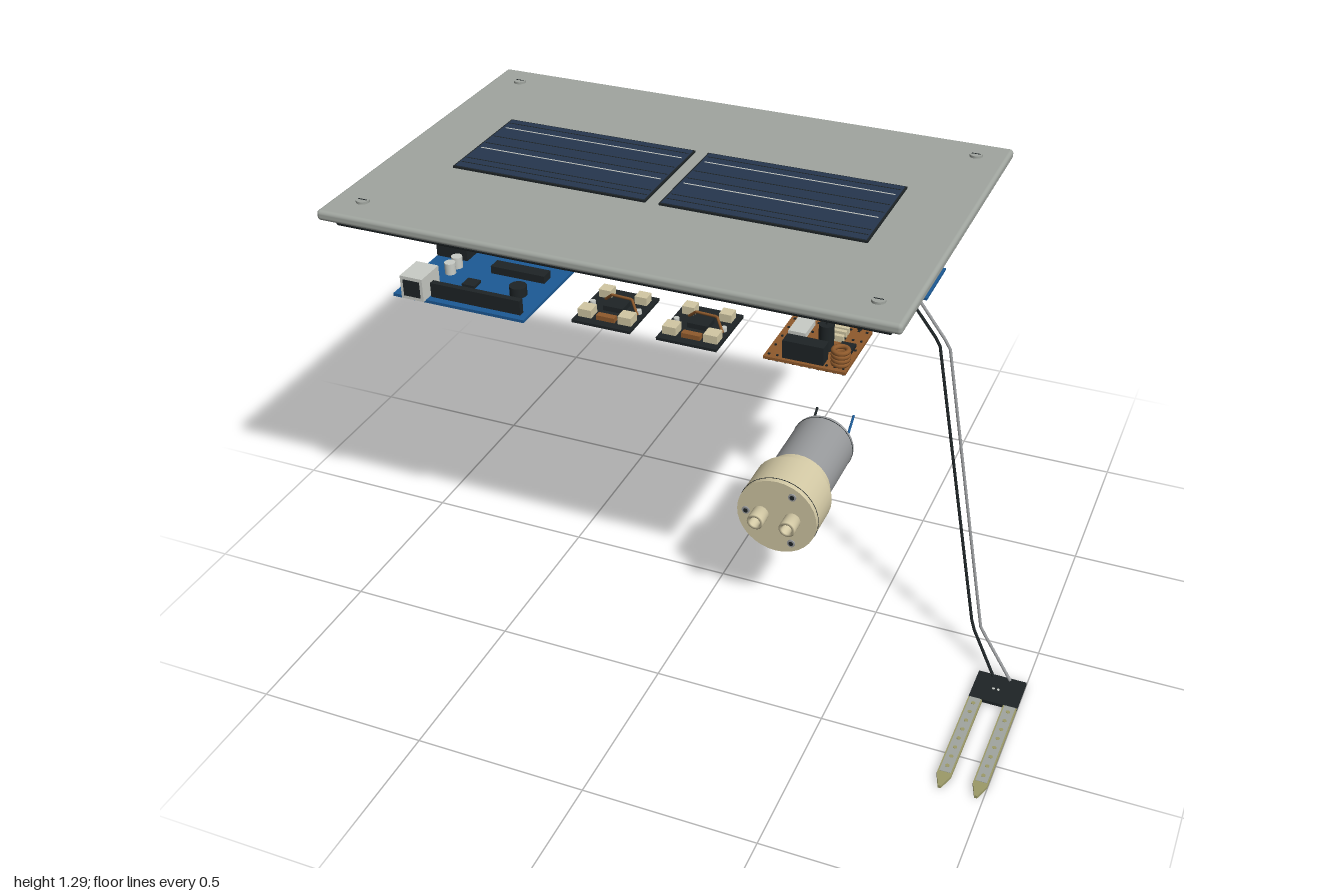
import * as THREE from 'three';
import { RoundedBoxGeometry } from 'three/addons/geometries/RoundedBoxGeometry.js';

const mat = (name, color) => Object.assign(new THREE.MeshStandardMaterial({ color }), { name });
const M = {
  grey: mat('lid grey', 0xa0a59f), black: mat('charcoal', 0x1e2426), blue: mat('battery blue', 0x1f5abb),
  pcb: mat('board blue', 0x1c5a96), navy: mat('solar navy', 0x26364e), cream: mat('gearbox cream', 0xd2c8a4),
  metal: mat('motor metal', 0x97999b), silver: mat('silver', 0xc9ccc6), copper: mat('copper', 0x8f5a2c),
  khaki: mat('probe khaki', 0x9c9a68),
};

export function createModel() {
  const model = new THREE.Group();
  const group = (name) => {
    const g = new THREE.Group();
    g.name = name;
    model.add(g);
    return g;
  };
  const add = (g, name, geo, m, x = 0, y = 0, z = 0) => {
    const mesh = new THREE.Mesh(geo, m);
    mesh.name = name;
    mesh.position.set(x, y, z);
    g.add(mesh);
    return mesh;
  };
  // Boxes are given by their limits on each axis
  const box = (g, name, m, x0, x1, y0, y1, z0, z1, r = 0) => {
    const s = [x1 - x0, y1 - y0, z1 - z0];
    const geo = r ? new RoundedBoxGeometry(...s, 4, r) : new THREE.BoxGeometry(...s);
    return add(g, name, geo, m, (x0 + x1) / 2, (y0 + y1) / 2, (z0 + z1) / 2);
  };
  const cyl = (g, name, m, r, h, x, y, z, alongZ = false) => {
    const c = add(g, name, new THREE.CylinderGeometry(r, r, h, 32), m, x, y, z);
    if (alongZ) c.rotation.x = Math.PI / 2;
    return c;
  };
  // Wires bend sharply between a few points
  const wire = (g, name, m, r, pts) => {
    const path = new THREE.CurvePath();
    const v = pts.map((p) => new THREE.Vector3(...p));
    for (let i = 1; i < v.length; i++) path.add(new THREE.LineCurve3(v[i - 1], v[i]));
    return add(g, name, new THREE.TubeGeometry(path, 40, r, 8), m);
  };

  // Lid with gasket and corner screws
  const lid = group('lid');
  box(lid, 'lidPlate', M.grey, -1, 0.65, 1.255, 1.285, -0.64, 0.46, 0.011);
  box(lid, 'gasket', M.black, -0.965, 0.615, 1.23, 1.256, -0.603, 0.425, 0.006);
  for (const x of [-0.91, 0.56]) for (const z of [-0.55, 0.365]) {
    cyl(lid, 'screw', M.grey, 0.019, 0.01, x, 1.287, z);
    box(lid, 'screwSlot', M.black, x - 0.013, x + 0.013, 1.291, 1.2925, z - 0.002, z + 0.002);
  }

  // Solar panels with thin collector lines and cell gaps
  const solar = group('solarPanels');
  for (const x0 of [-0.79, -0.155]) {
    const x1 = x0 + 0.595;
    box(solar, 'panelFrame', M.black, x0, x1, 1.284, 1.291, -0.27, 0.083);
    box(solar, 'panelCells', M.navy, x0 + 0.005, x1 - 0.005, 1.29, 1.2925, -0.265, 0.078);
    for (const z of [-0.205, -0.055]) box(solar, 'collectorLine', M.silver, x0 + 0.015, x1 - 0.015, 1.292, 1.2935, z - 0.002, z + 0.002);
    for (const z of [-0.24, -0.14, -0.09, 0.02, 0.05]) box(solar, 'cellGap', M.black, x0 + 0.01, x1 - 0.01, 1.292, 1.2932, z - 0.0015, z + 0.0015);
    const wx = x0 + 0.297;
    wire(solar, 'panelLead', M.black, 0.004, [[wx - 0.003, 1.235, -0.305], [wx - 0.003, 1.197, -0.35]]);
    wire(solar, 'panelLead', M.black, 0.004, [[wx + 0.003, 1.235, -0.335], [wx + 0.003, 1.197, -0.375]]);
  }

  // Batteries
  const batteries = group('batteries');
  for (const x of [-0.787, -0.387]) box(batteries, 'battery', M.blue, x, x + 0.302, 0.965, 1.113, -0.56, -0.043, 0.025);

  // Controller board
  const ctl = group('controllerBoard');
  box(ctl, 'board', M.pcb, -0.86, -0.45, 0.992, 1.001, 0.02, 0.345);
  box(ctl, 'dataSocket', M.silver, -0.825, -0.755, 1, 1.07, 0.265, 0.357);
  box(ctl, 'socketOpening', M.black, -0.816, -0.764, 1.01, 1.06, 0.35, 0.3585);
  box(ctl, 'powerSocket', M.black, -0.86, -0.76, 1, 1.055, 0.04, 0.1);
  box(ctl, 'mainChip', M.black, -0.66, -0.49, 1.002, 1.025, 0.1, 0.14);
  for (const [x0, x1, z] of [[-0.7, -0.47, 0.035], [-0.75, -0.47, 0.315]]) box(ctl, 'pinSocket', M.black, x0, x1, 1, 1.045, z - 0.009, z + 0.009);
  for (const z of [0.14, 0.18]) cyl(ctl, 'capacitor', M.silver, 0.016, 0.035, -0.77, 1.018, z);
  box(ctl, 'smallChip', M.black, -0.7, -0.66, 1, 1.01, 0.2, 0.24);
  cyl(ctl, 'resetButton', M.black, 0.025, 0.03, -0.53, 1.015, 0.22);

  // Two small driver boards
  for (const x of [-0.243, 0.01]) {
    const d = group('driverBoard');
    box(d, 'board', M.black, x - 0.088, x + 0.088, 0.992, 1, 0.09, 0.29);
    for (const s of [-1, 1]) {
      box(d, 'connector', M.cream, x + s * 0.06 - 0.02, x + s * 0.06 + 0.02, 1, 1.024, 0.225, 0.265);
      box(d, 'connector', M.cream, x + s * 0.055 - 0.018, x + s * 0.055 + 0.018, 1, 1.024, 0.11, 0.145);
      cyl(d, 'standoff', M.silver, 0.008, 0.014, x + s * 0.07, 1.005, 0.19);
    }
    box(d, 'chip', M.black, x - 0.03, x + 0.03, 1, 1.015, 0.16, 0.21);
    box(d, 'component', M.copper, x - 0.025, x + 0.03, 1, 1.014, 0.245, 0.265);
    wire(d, 'jumper', M.copper, 0.004, [[x - 0.05, 1, 0.15], [x - 0.02, 1.03, 0.17], [x + 0.05, 1.04, 0.19], [x + 0.07, 1, 0.2]]);
  }

  // Copper converter board with coil and capacitor
  const conv = group('converterBoard');
  box(conv, 'board', M.copper, 0.225, 0.455, 0.994, 1.002, 0.045, 0.275);
  for (let i = 0; i < 10; i++) for (const z of [0.06, 0.11, 0.16, 0.21, 0.26]) {
    const x = 0.237 + i * 0.023;
    box(conv, 'solderPin', M.black, x - 0.003, x + 0.003, 0.985, 1.005, z - 0.003, z + 0.003);
  }
  for (let i = 0; i < 4; i++) {
    add(conv, 'coil', new THREE.TorusGeometry(0.02, 0.007, 8, 24), M.copper, 0.43, 1.011 + i * 0.012, 0.242).rotation.x = Math.PI / 2;
  }
  box(conv, 'heatSink', M.black, 0.275, 0.39, 1, 1.055, 0.225, 0.265);
  cyl(conv, 'capacitor', M.black, 0.021, 0.075, 0.37, 1.045, 0.185);
  cyl(conv, 'capacitorLead', M.black, 0.003, 0.03, 0.37, 1.09, 0.185);
  box(conv, 'terminal', M.silver, 0.25, 0.3, 1, 1.018, 0.07, 0.15);
  for (const z of [0.075, 0.095, 0.12]) box(conv, 'component', M.cream, 0.35, 0.4, 1, 1.02, z, z + 0.012);
  box(conv, 'chip', M.black, 0.4, 0.44, 1, 1.012, 0.14, 0.19);
  wire(conv, 'linkWire', M.black, 0.006, [[0.42, 1, 0.05], [0.42, 1.038, 0.048], [0.42, 1.055, 0], [0.4, 1.045, -0.04]]);

  // Relay board
  const relay = group('relayBoard');
  box(relay, 'board', M.pcb, 0.26, 0.42, 0.994, 1.002, -0.28, -0.012);
  box(relay, 'relay', M.pcb, 0.27, 0.375, 1.002, 1.1, -0.195, -0.08);
  box(relay, 'terminalBlock', M.pcb, 0.28, 0.41, 1, 1.05, -0.052, -0.012);
  for (const x of [0.305, 0.345, 0.385]) cyl(relay, 'terminalScrew', M.silver, 0.011, 0.004, x, 1.051, -0.032);
  for (const x of [0.3, 0.35]) box(relay, 'component', M.black, x, x + 0.03, 1, 1.02, -0.26, -0.23);

  // Moisture signal board
  const amp = group('signalBoard');
  box(amp, 'board', M.pcb, 0.43, 0.54, 0.996, 1.003, -0.377, -0.185);
  box(amp, 'trimmer', M.pcb, 0.46, 0.51, 1.002, 1.028, -0.325, -0.28);
  box(amp, 'chip', M.black, 0.46, 0.51, 1.002, 1.015, -0.265, -0.235);
  for (const x of [0.45, 0.475, 0.5, 0.525]) box(amp, 'pin', M.black, x - 0.004, x + 0.004, 0.99, 1.024, -0.375, -0.365);
  for (const x of [0.47, 0.5]) box(amp, 'pin', M.black, x - 0.004, x + 0.004, 0.99, 1.02, -0.2, -0.19);

  // Probe cables and two-pronged soil probe
  const probe = group('soilProbe');
  wire(probe, 'probeCable', M.black, 0.0045, [[0.48, 1.005, -0.185], [0.6, 0.9, -0.13], [0.81, 0.1, 0.065], [0.905, 0.012, 0.16]]);
  wire(probe, 'probeCable', M.metal, 0.0045, [[0.51, 1.005, -0.185], [0.63, 0.895, -0.13], [0.835, 0.1, 0.065], [0.955, 0.012, 0.16]]);
  box(probe, 'probeHead', M.black, 0.86, 1, 0.003, 0.013, 0.15, 0.266);
  for (const x of [0.918, 0.932]) cyl(probe, 'solderDot', M.silver, 0.004, 0.002, x, 0.0135, 0.21);
  const prong = new THREE.Shape([[-0.02, 0.26], [0.02, 0.26], [0.02, 0.59], [0.004, 0.635], [-0.004, 0.635], [-0.02, 0.59]].map((p) => new THREE.Vector2(...p)));
  for (const x of [0.88, 0.98]) {
    const p = add(probe, 'prong', new THREE.ExtrudeGeometry(prong, { depth: 0.009, bevelEnabled: false }), M.khaki, x, 0.0125, 0);
    p.rotation.x = Math.PI / 2;
    box(probe, 'prongPlating', M.grey, x - 0.016, x + 0.016, 0.012, 0.0135, 0.266, 0.58);
    for (let i = 0; i < 8; i++) cyl(probe, 'prongDot', M.khaki, 0.006, 0.002, x, 0.0133, 0.29 + i * 0.038);
  }

  // Pump motor: cream gearbox, metal can, leads
  const pump = group('pumpMotor');
  pump.position.set(0.222, 0.377, 0);
  cyl(pump, 'pumpHead', M.cream, 0.123, 0.135, 0, 0, 0.0675, true);
  add(pump, 'headSeam', new THREE.TorusGeometry(0.1225, 0.0015, 6, 48), M.black, 0, 0, 0.118);
  cyl(pump, 'collar', M.cream, 0.103, 0.05, 0, 0, -0.021, true);
  cyl(pump, 'motorCan', M.metal, 0.098, 0.235, 0, 0, -0.161, true);
  add(pump, 'canSeam', new THREE.TorusGeometry(0.0975, 0.0015, 6, 48), M.black, 0, 0, -0.268);
  for (const s of [-1, 1]) {
    const tube = [[0, 0.12], [0.025, 0.12], [0.025, 0.183], [0.016, 0.183], [0.016, 0.14], [0, 0.14]].map((p) => new THREE.Vector2(...p));
    add(pump, 'hosePort', new THREE.LatheGeometry(tube, 28), M.cream, s * 0.049).rotation.x = Math.PI / 2;
  }
  for (const a of [60, 180, 300]) {
    const x = Math.cos(a * Math.PI / 180) * 0.095, y = Math.sin(a * Math.PI / 180) * 0.095;
    cyl(pump, 'headScrew', M.metal, 0.012, 0.008, x, y, 0.135, true);
    cyl(pump, 'screwRecess', M.black, 0.007, 0.002, x, y, 0.139, true);
  }
  cyl(pump, 'rearBearing', M.metal, 0.026, 0.014, 0, 0, -0.284, true);
  cyl(pump, 'shaftEnd', M.black, 0.009, 0.006, 0, 0, -0.292, true);
  for (const s of [-1, 1]) {
    box(pump, 'terminal', M.cream, s * 0.06 - 0.01, s * 0.06 + 0.01, -0.015, 0.015, -0.295, -0.275);
    wire(pump, 'motorLead', s > 0 ? M.pcb : M.black, 0.004, [[s * 0.06, -0.003, -0.285], [s * 0.06, 0.01, -0.335], [s * 0.06, 0.05, -0.388]]);
  }
  return model;
}
